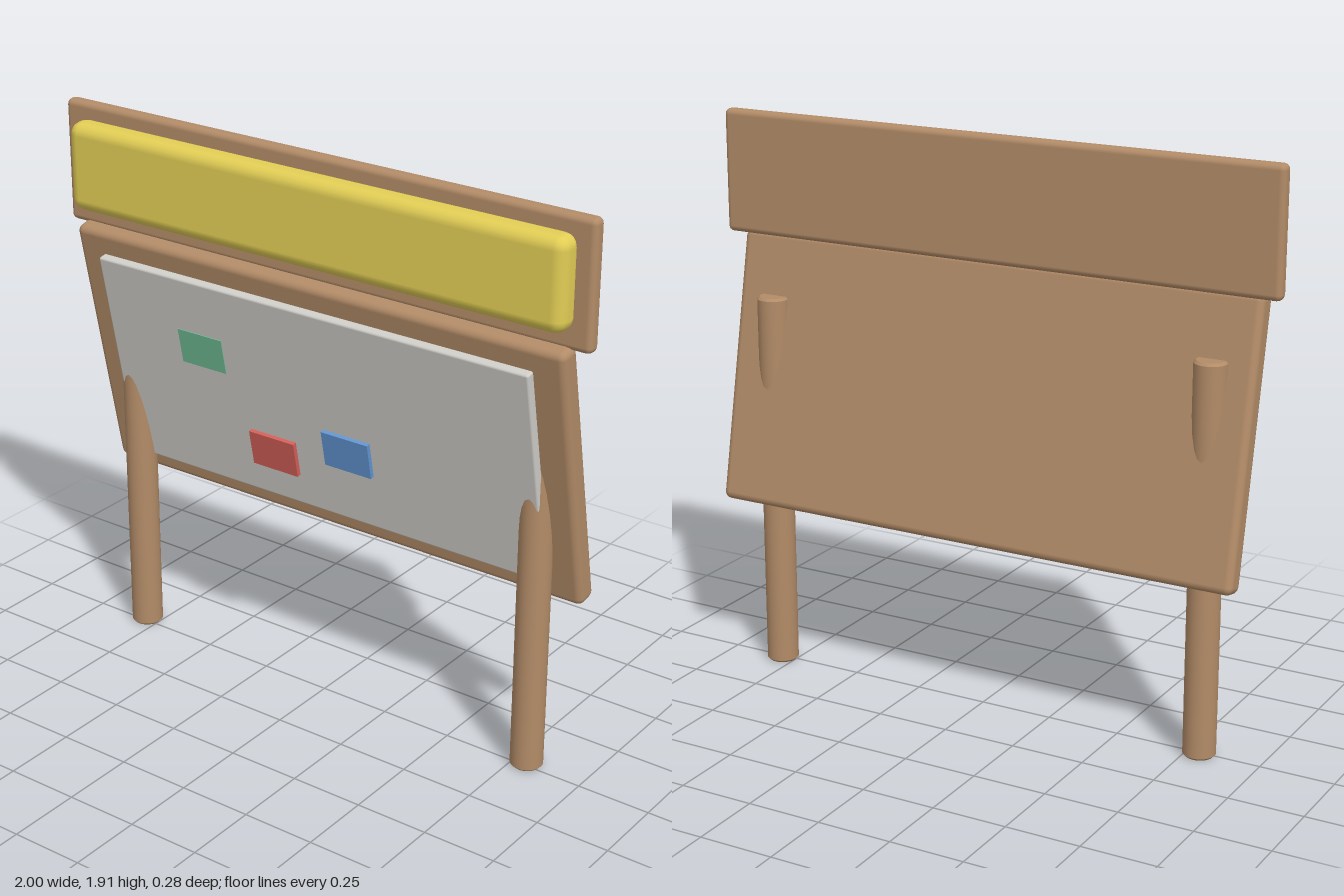
import * as THREE from 'three';
import { RoundedBoxGeometry } from 'three/addons/geometries/RoundedBoxGeometry.js';

const TILT = 0.197; // forward lean of the board

function material(name, color) {
  const m = new THREE.MeshStandardMaterial({ color });
  m.name = name;
  return m;
}

export function createModel() {
  const model = new THREE.Group();
  model.name = 'noticeBoard';
  const wood = material('wood', 0xb38c68);
  const yellow = material('yellow', 0xe2ce55);
  const grey = material('lightGrey', 0xcfcec9);
  const red = material('red', 0xd56059);
  const green = material('green', 0x70be96);
  const blue = material('blue', 0x6296d2);

  function add(name, geometry, mat, x, y, z, parent = model) {
    const mesh = new THREE.Mesh(geometry, mat);
    mesh.name = name;
    mesh.position.set(x, y, z);
    parent.add(mesh);
    return mesh;
  }

  // Round posts with softened ends
  const r = 0.054, h = 1.305, b = 0.008;
  const profile = [[0, 0], [r - b, 0], [r - b, 0], [r, b], [r, b], [r, h - b], [r, h - b], [r - b, h], [r - b, h], [0, h]]
    .map(([x, y]) => new THREE.Vector2(x, y));
  const postGeometry = new THREE.LatheGeometry(profile, 24);
  for (const side of [-1, 1]) {
    add(side > 0 ? 'leftPost' : 'rightPost', postGeometry, wood, side * 0.797, 0, -0.013);
  }

  // Leaning board with its writing surface
  const board = new THREE.Group();
  board.name = 'board';
  board.position.set(0, 1.053, -0.014);
  board.rotation.x = TILT;
  model.add(board);
  add('boardPanel', new RoundedBoxGeometry(1.88, 0.925, 0.08, 2, 0.025), wood, 0, 0, 0, board);
  add('writingSurface', new RoundedBoxGeometry(1.66, 0.765, 0.034, 2, 0.008), grey, 0, 0, 0.053, board);

  // Header panel and its raised yellow pad
  add('headerPanel', new RoundedBoxGeometry(2, 0.415, 0.05, 2, 0.02), wood, 0, 1.705, 0.044);
  add('headerPad', new RoundedBoxGeometry(1.88, 0.3, 0.1, 2, 0.042), yellow, 0, 1.71, 0.089);

  // Paper notes
  const noteGeometry = new THREE.BoxGeometry(0.18, 0.126, 0.015);
  const notes = [
    ['greenNote', green, -0.438, 1.162, 0.074],
    ['redNote', red, -0.148, 0.872, 0.072],
    ['blueNote', blue, 0.142, 0.948, 0.072],
  ];
  for (const [name, mat, x, y, z] of notes) {
    add(name, noteGeometry, mat, x, y, z).rotation.x = TILT;
  }

  return model;
}
